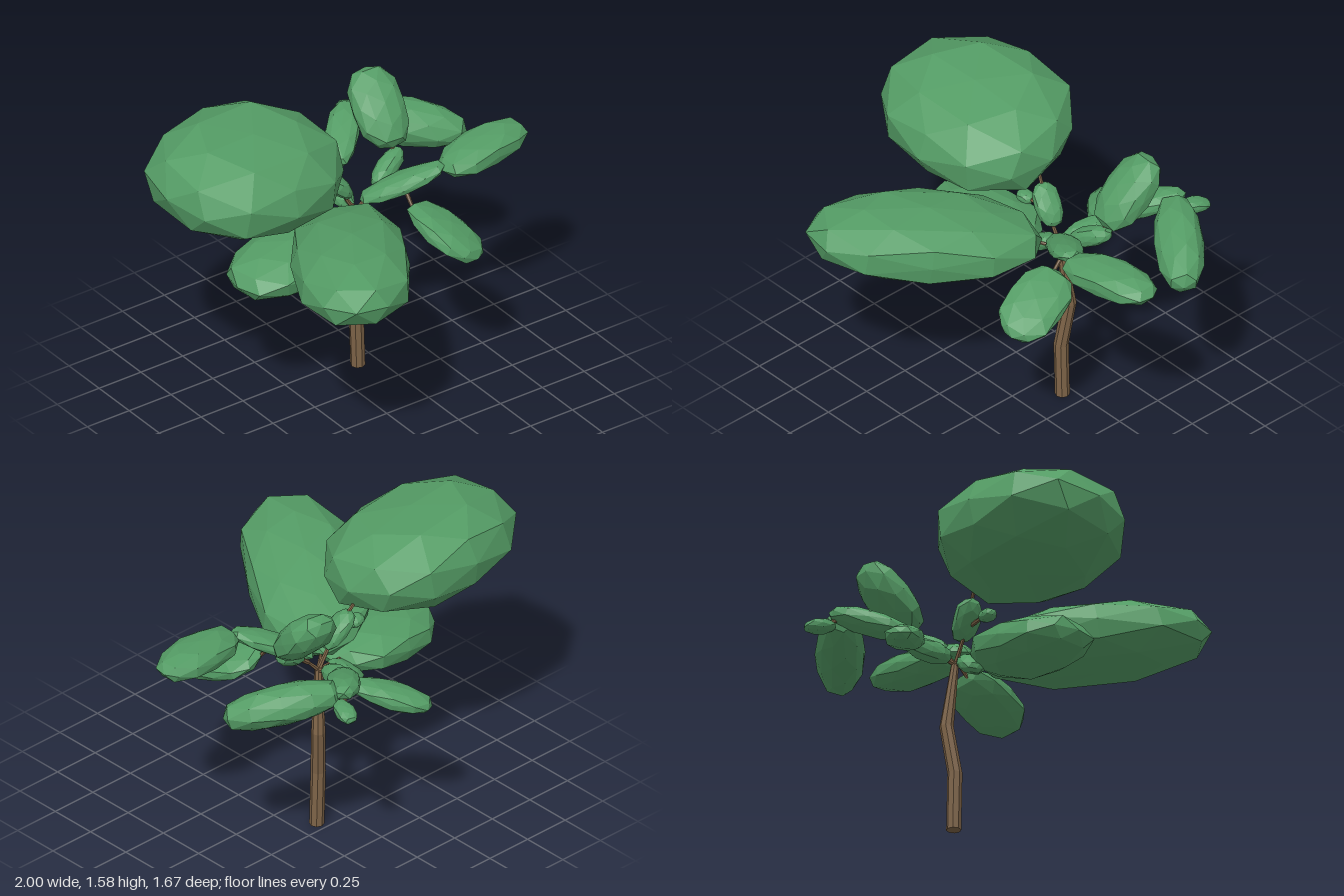
import * as THREE from 'three';
import { mergeVertices } from 'three/addons/utils/BufferGeometryUtils.js';

const V = (p) => new THREE.Vector3(...p);
const leafMat = new THREE.MeshStandardMaterial({ color: 0x549c65, flatShading: true });
const barkMat = new THREE.MeshStandardMaterial({ color: 0x7d6347, flatShading: true });

// Bent, tapering limb from base to tip: each ring of a unit cylinder moves to a node [x, y, z, radius]
function limb(name, nodes, sides) {
  const rows = nodes.length - 1;
  const geo = new THREE.CylinderGeometry(1, 1, 1, sides, rows);
  const pos = geo.attributes.position;
  const dir = V(nodes[rows]).sub(V(nodes[0])).normalize();
  const turn = new THREE.Quaternion().setFromUnitVectors(new THREE.Vector3(0, 1, 0), dir);
  const p = new THREE.Vector3();
  for (let i = 0; i < pos.count; i++) {
    p.fromBufferAttribute(pos, i);
    const [x, y, z, r] = nodes[Math.round((p.y + 0.5) * rows)];
    p.set(p.x * r, 0, p.z * r).applyQuaternion(turn);
    pos.setXYZ(i, p.x + x, p.y + y, p.z + z);
  }
  geo.computeVertexNormals();
  const mesh = new THREE.Mesh(geo, barkMat);
  mesh.name = name;
  return mesh;
}

// Faceted leaf clump from tip a to tip b, with half width w, half thickness t and an up hint
function leaf(name, seed, a, b, w, t, up = [0, 1, 0]) {
  let geo = new THREE.IcosahedronGeometry(1, 1);
  geo.deleteAttribute('normal');
  geo.deleteAttribute('uv');
  geo = mergeVertices(geo, 1e-3);
  const A = V(a), B = V(b);
  const x = B.clone().sub(A), half = x.length() / 2;
  x.normalize();
  const z = x.clone().cross(V(up)).normalize();
  const y = z.clone().cross(x);
  const pos = geo.attributes.position;
  const p = new THREE.Vector3();
  let s = seed * 7919 + 17;
  const rnd = () => (s = (s * 16807) % 2147483647) / 2147483647;
  const n = 2.5;
  for (let i = 0; i < pos.count; i++) {
    // slightly irregular superellipsoid, fuller at the corners than an ellipsoid
    p.fromBufferAttribute(pos, i);
    const norm = (Math.abs(p.x) ** n + Math.abs(p.y) ** n + Math.abs(p.z) ** n) ** (1 / n);
    p.multiplyScalar((0.95 + rnd() * 0.08) / norm);
    if (Math.abs(p.x) > 0.94) p.x = Math.sign(p.x);
    pos.setXYZ(i, p.x, p.y, p.z);
  }
  const frame = new THREE.Matrix4().makeBasis(
    x.multiplyScalar(half), y.multiplyScalar(t), z.multiplyScalar(w));
  frame.setPosition(A.add(B).multiplyScalar(0.5));
  geo.applyMatrix4(frame);
  geo.computeVertexNormals();
  const mesh = new THREE.Mesh(geo, leafMat);
  mesh.name = name;
  return mesh;
}

export function createModel() {
  const tree = new THREE.Group();
  tree.name = 'tree';

  // Trunk
  tree.add(limb('trunk', [
    [0.147, 0, -0.195, 0.037], [0.138, 0.3, -0.195, 0.037],
    [0.165, 0.55, -0.225, 0.035], [0.135, 0.89, -0.195, 0.019],
  ], 8));

  // Thin branches from the crown to the leaf clumps
  const crown = [0.135, 0.88, -0.195];
  const fork = [0.2, 0.95, -0.19];
  const back = [0.16, 0.96, -0.42];
  const twig = [0.04, 1.04, -0.2];
  const branches = [
    [crown, fork], [crown, back], [crown, [0.06, 0.9, -0.13]],
    [crown, twig], [twig, [-0.08, 1.22, -0.24]], [twig, [-0.1, 1.06, -0.19]],
    [crown, [-0.05, 0.86, -0.17]], [fork, [0.32, 1.02, -0.08]],
    [[0.32, 1.04, -0.06], [0.32, 0.92, 0.04]], [fork, [0.3, 1.03, -0.2]],
    [back, [0.15, 0.9, -0.52]], [back, [0.24, 1.03, -0.5]],
    [[0.42, 1.12, -0.68], [0.52, 1.12, -0.66]], [[0.42, 1.1, -0.68], [0.47, 1.05, -0.74]],
    [[0.4, 1.1, -0.24], [0.38, 1.18, -0.28]],
  ];
  branches.forEach(([a, b]) => tree.add(limb('branch', [[...a, 0.013], [...b, 0.008]], 6)));

  // Leaf clumps: name, tip, tip, half width, half thickness, up hint
  const leaves = [
    ['largeTopLeaf', [0, 1.3, -0.26], [-1, 1.37, -0.19], 0.41, 0.23, [0, 1, 0.17]],
    ['largeFrontLeaf', [0.05, 0.91, -0.15], [-0.59, 1.08, 0.82], 0.295, 0.165],
    ['lowerLeaf', [0, 0.85, -0.14], [-0.67, 0.81, -0.06], 0.23, 0.11],
    ['lowBackLeaf', [0.16, 0.93, -0.46], [-0.12, 0.81, -0.73], 0.095, 0.055],
    ['droopingLeaf', [0.06, 0.88, -0.19], [-0.1, 0.76, -0.25], 0.065, 0.045],
    ['crownLeaf', [0.12, 0.9, -0.23], [0.17, 0.93, -0.48], 0.06, 0.05],
    ['crownLeaf', [0.1, 0.99, -0.19], [-0.05, 1.16, -0.23], 0.07, 0.045],
    ['crownLeaf', [-0.07, 1.05, -0.2], [-0.16, 1.06, -0.18], 0.04, 0.03],
    ['uprightLeaf', [0.39, 1.13, -0.24], [0.43, 1.43, -0.53], 0.135, 0.09],
    ['uprightLeafStem', [0.23, 1.0, -0.17], [0.44, 1.11, -0.25], 0.055, 0.05],
    ['innerSideLeaf', [0.14, 0.96, -0.17], [0.49, 1.14, 0.05], 0.085, 0.045],
    ['outerSideLeaf', [0.47, 1.12, 0.06], [1.0, 1.15, -0.02], 0.125, 0.075],
    ['hangingLeaf', [0.34, 0.95, 0.0], [0.44, 0.8, 0.4], 0.15, 0.06, [0.3, 1, 0]],
    ['innerBackLeaf', [0.19, 1.0, -0.43], [0.46, 1.13, -0.72], 0.085, 0.055],
    ['outerBackLeaf', [0.43, 1.11, -0.67], [0.89, 0.99, -0.32], 0.12, 0.1, [-0.3, 1, 0.3]],
    ['smallBackLeaf', [0.46, 1.07, -0.68], [0.51, 1.04, -0.83], 0.05, 0.035],
  ];
  leaves.forEach(([name, ...dims], i) => tree.add(leaf(name, i + 1, ...dims)));

  return tree;
}
